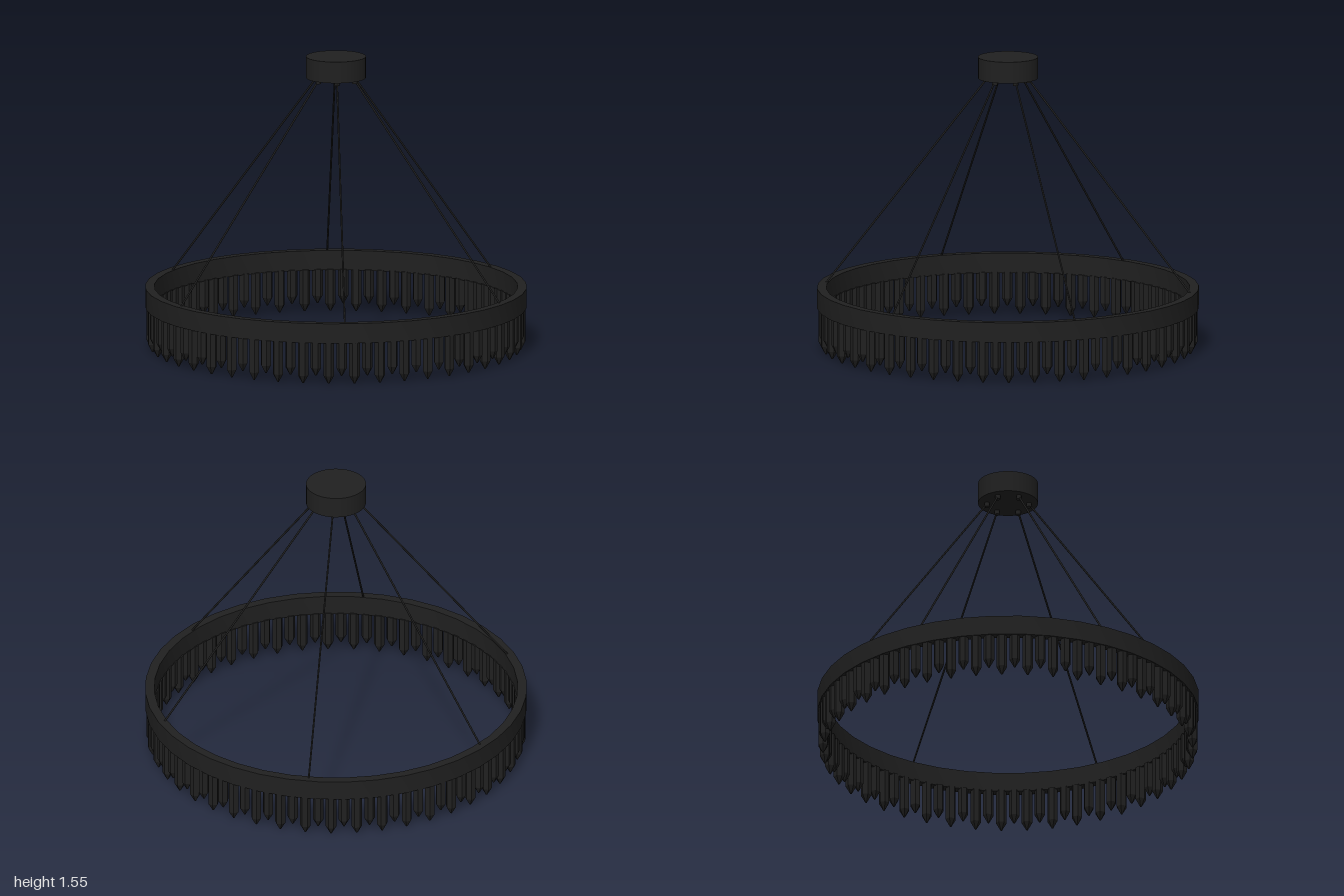
import * as THREE from 'three';
import { toCreasedNormals } from 'three/addons/utils/BufferGeometryUtils.js';

const black = new THREE.MeshStandardMaterial({ color: 0x202020 });
black.name = 'matte black';

// Solid of revolution with crisp edges, profile given as [radius, y]
function turned(profile, sides, crease = 0.5) {
  const points = profile.map(([r, y]) => new THREE.Vector2(r, y));
  return toCreasedNormals(new THREE.LatheGeometry(points, sides), crease);
}

function add(parent, name, geometry) {
  const mesh = new THREE.Mesh(geometry, black);
  mesh.name = name;
  parent.add(mesh);
  return mesh;
}

export function createModel() {
  const model = new THREE.Group();
  model.name = 'chandelier';

  // Ring band
  const outer = 1, inner = 0.952, low = 0.22, high = 0.325;
  add(model, 'ring', turned(
    [[outer, low], [outer, high], [inner, high], [inner, low], [outer, low]], 40));

  // Ceiling canopy
  const canopy = add(model, 'canopy', new THREE.CylinderGeometry(0.157, 0.157, 0.113, 40));
  canopy.position.y = 1.496;

  // Hexagonal pointed pendants, alternating long and short
  const pendants = new THREE.Group();
  pendants.name = 'pendants';
  model.add(pendants);
  const pendantShape = (tip) => turned(
    [[0, tip], [0.004, tip], [0.028, tip + 0.042], [0.028, low + 0.005], [0, low + 0.005]], 6, 0.3);
  const shapes = [pendantShape(0), pendantShape(0.042)];
  const mid = 0.968, count = 90;
  for (let i = 0; i < count; i++) {
    const a = (i / count) * Math.PI * 2;
    const pendant = add(pendants, i % 2 ? 'shortPendant' : 'longPendant', shapes[i % 2]);
    pendant.position.set(Math.cos(a) * mid, 0, Math.sin(a) * mid);
    pendant.rotation.y = -a;
  }

  // Six suspension cables with their sockets under the canopy
  const up = new THREE.Vector3(0, 1, 0);
  const socketShape = new THREE.CylinderGeometry(0.014, 0.014, 0.025, 12);
  for (let i = 0; i < 6; i++) {
    const a = Math.PI / 12 + (i * Math.PI) / 3;
    const at = (r, y) => new THREE.Vector3(Math.cos(a) * r, y, Math.sin(a) * r);
    const top = at(0.11, 1.435), bottom = at(mid, high - 0.01);
    const span = top.clone().sub(bottom);
    const cable = add(model, 'cable', new THREE.CylinderGeometry(0.005, 0.005, span.length(), 8));
    cable.position.copy(top).add(bottom).multiplyScalar(0.5);
    cable.quaternion.setFromUnitVectors(up, span.normalize());
    add(model, 'cableSocket', socketShape).position.copy(at(0.11, 1.43));
  }
  return model;
}
